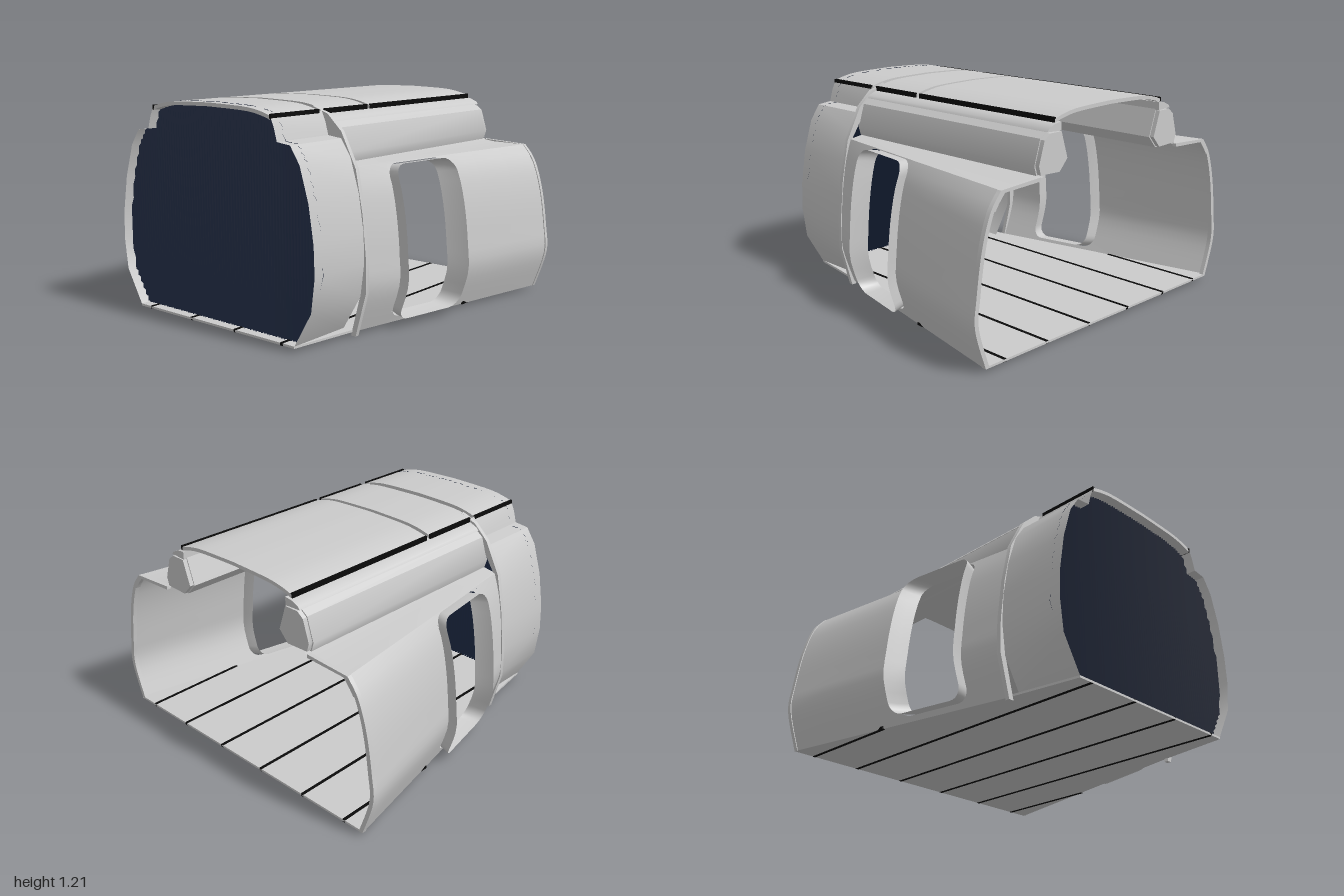
import * as THREE from 'three';
import { toCreasedNormals } from 'three/addons/utils/BufferGeometryUtils.js';

const grey = new THREE.MeshStandardMaterial({ color: 0xcccccc, side: THREE.DoubleSide });
const navy = new THREE.MeshStandardMaterial({ color: 0x141e33, side: THREE.DoubleSide });
const black = new THREE.MeshStandardMaterial({ color: 0x0a0a0a, side: THREE.DoubleSide });

// Half cross-sections as [x, y], bottom to top
const wallFront = [[0.64, 0.02], [0.715, 0.24], [0.715, 0.4], [0.7, 0.58], [0.67, 0.76], [0.63, 0.885]];
const wallRear = [[0.93, 0.02], [1.0, 0.24], [0.99, 0.4], [0.955, 0.62], [0.9, 0.79], [0.83, 0.885]];
const shell = [[0.58, 0.03], [0.69, 0.22], [0.713, 0.4], [0.707, 0.56], [0.675, 0.76], [0.62, 0.94], [0.56, 1.03],
  [0.475, 1.04], [0.455, 1.11], [0.43, 1.165]];
const roof = [[0.43, 1.165], [0.36, 1.185], [0.25, 1.2], [0, 1.207]];
const rib = [[0.66, 0], [0.725, 0.24], [0.724, 0.42], [0.7, 0.65], [0.655, 0.88], [0.56, 1.065], [0.47, 1.15], [0.37, 1.185]];
const bin = [[0.4, 1.11], [0.49, 1.11], [0.53, 1.08], [0.57, 0.95], [0.555, 0.9], [0.41, 0.895], [0.35, 0.96]];

// Linear lookup of column b at value v of column a
function lookup(pts, v, a, b) {
  for (let i = 0; i < pts.length - 1; i++) {
    const p = pts[i], q = pts[i + 1];
    if ((v - p[a]) * (v - q[a]) <= 0 && p[a] !== q[a]) return p[b] + (q[b] - p[b]) * (v - p[a]) / (q[a] - p[a]);
  }
  return pts[pts.length - 1][b];
}

function add(group, name, geometry, material = grey) {
  const mesh = new THREE.Mesh(geometry, material);
  mesh.name = name;
  group.add(mesh);
  return mesh;
}

// Surface through rows of [x, y, z] points
function sheet(rows, crease = 0.6) {
  const n = rows[0].length, index = [];
  for (let i = 0; i < rows.length - 1; i++) {
    for (let j = 0; j < n - 1; j++) {
      const a = i * n + j, b = a + n;
      index.push(a, b, a + 1, b, b + 1, a + 1);
    }
  }
  const g = new THREE.BufferGeometry();
  g.setAttribute('position', new THREE.Float32BufferAttribute(rows.flat(2), 3));
  g.setIndex(index);
  g.computeVertexNormals();
  return toCreasedNormals(g, crease);
}

// Closed [x, y] outline extruded from z0 to z1
function prism(pts, z0, z1) {
  const shape = new THREE.Shape(pts.map(p => new THREE.Vector2(p[0], p[1])));
  const g = new THREE.ExtrudeGeometry(shape, { depth: z1 - z0, bevelEnabled: false });
  g.translate(0, 0, z0);
  return toCreasedNormals(g, 0.6);
}

// Smooth the wall profiles so the skin curves gently
const smooth = (pts, n) => new THREE.SplineCurve(pts.map(p => new THREE.Vector2(...p))).getPoints(n).map(p => [p.x, p.y]);
const frontCurve = smooth(wallFront, 40), rearCurve = smooth(wallRear, 40);
function wallX(y, z) {
  const t = (0.52 - z) / 1.44;
  return THREE.MathUtils.lerp(lookup(frontCurve, y, 1, 0), lookup(rearCurve, y, 1, 0), t);
}

// Door opening
const TOP = 0.885, BASE = 0.02;
const door = { z: 0.065, half: 0.22, low: 0.05, high: 0.88, r: 0.07 };
function doorRound(z) {
  const e = Math.max(0, Math.abs(z - door.z) - door.half + door.r);
  return door.r - Math.sqrt(Math.max(0, door.r ** 2 - e ** 2));
}

function wallPatch(zs, s, low, high) {
  return sheet(zs.map(z => Array.from({ length: 17 }, (_, j) => {
    const y = THREE.MathUtils.lerp(low(z), high(z), j / 16);
    return [s * wallX(y, z), y, z];
  })));
}

function doorFrame(s) {
  const c = (door.low + door.high) / 2, hy = (door.high - door.low) / 2;
  const loop = [];
  for (const [u, v, a0] of [[1, 1, 0], [-1, 1, 1], [-1, -1, 2], [1, -1, 3]]) {
    for (let i = 0; i <= 6; i++) {
      const a = (a0 + i / 6) * Math.PI / 2;
      loop.push([u * (door.half - door.r) + door.r * Math.cos(a), v * (hy - door.r) + door.r * Math.sin(a)]);
    }
    // Points along the straight jambs so they follow the wall curve
    const p = loop[loop.length - 1];
    if (u === -1 && v === 1) for (let i = 1; i < 12; i++) loop.push([p[0], p[1] * (1 - i / 6)]);
    if (u === 1 && v === -1) for (let i = 1; i < 12; i++) loop.push([p[0], p[1] * (1 - i / 6)]);
  }
  loop.push(loop[0]);
  const ring = (off, inset) => loop.map(([dz, dy]) => {
    const z = door.z + dz * (1 - inset / door.half), y = c + dy * (1 - inset / 2 / hy);
    return [s * (wallX(y, z) + off), y, z];
  });
  return sheet([ring(0.06, -0.005), ring(0, 0.01), ring(-0.05, 0.03)]);
}

function buildSide(s) {
  const side = new THREE.Group();
  side.name = s > 0 ? 'leftSide' : 'rightSide';
  const flip = pts => pts.map(([x, y]) => [s * x, y]);
  const zA = door.z + door.half, zB = door.z - door.half;
  const zs = Array.from({ length: 25 }, (_, i) => door.z + door.half * Math.cos(i / 24 * Math.PI));

  // Flared wall around the doorway
  add(side, 'wallAheadOfDoor', wallPatch([0.51, 0.4, zA], s, () => BASE, () => TOP));
  add(side, 'wallBehindDoor', wallPatch([zB, -0.4, -0.65, -0.92], s, () => BASE, () => TOP));
  add(side, 'doorSill', wallPatch(zs, s, () => BASE, z => door.low + doorRound(z)));
  add(side, 'doorLintel', wallPatch(zs, s, z => door.high - doorRound(z), () => TOP));
  add(side, 'doorFrame', doorFrame(s));
  add(side, 'wallTopLedge', sheet([0.51, -0.2, -0.92].map(z =>
    [[s * wallX(TOP, z), TOP, z], [s * 0.62, 0.888, z], [s * 0.54, 0.9, z]])));
  const inner = rearCurve.map(([x, y]) => [x - 0.025, y - (y > 0.8 ? 0.015 : 0)]).reverse();
  add(side, 'wallRearRim', prism(flip([...rearCurve, [0.56, 0.9], [0.56, 0.88], ...inner]), -0.92, -0.895));

  // Overhead locker, its end plate and the roof rail above it
  add(side, 'overheadLocker', prism(flip(bin), -0.885, 0.51));
  add(side, 'lockerEndPlate', prism(flip(bin.map(([x, y]) => [0.46 + (x - 0.46) * 0.94, 1 + (y - 1) * 0.94])), -0.91, -0.885));
  add(side, 'roofRail', prism(flip([[0.4, 1.105], [0.5, 1.11], [0.49, 1.125], [0.445, 1.145], [0.4, 1.15]]), -0.905, 0.53));

  // Front shell and the rib joining it to the flared wall
  add(side, 'frontShell', sheet([0.92, 0.53].map(z => shell.map(([x, y]) => [s * x, y, z]))));
  const ribInner = rib.map(([x, y]) => [x - 0.045 * Math.min(1, x), y - (y > 0.9 ? 0.045 : 0)]).reverse();
  add(side, 'joiningRib', prism(flip([...rib, ...ribInner]), 0.505, 0.53));
  return side;
}

export function createModel() {
  const model = new THREE.Group();
  model.name = 'cabinSection';
  model.add(buildSide(1), buildSide(-1));

  // Roof panels with black seals along both edges
  const mirrored = pts => [...pts, ...pts.slice(0, -1).reverse().map(([x, y]) => [-x, y])];
  const arch = mirrored(smooth(roof, 10));
  const band = (drop, thick) => [...arch.map(([x, y]) => [x, y - drop]),
    ...arch.map(([x, y]) => [x, y - drop - thick]).reverse()];
  for (const [z0, z1] of [[0.555, 0.92], [0.15, 0.51], [-0.89, 0.12]]) {
    add(model, 'roofPanel', prism(band(0, 0.02), z0, z1));
    for (const s of [1, -1]) {
      const seal = add(model, 'roofSeal', new THREE.BoxGeometry(0.012, 0.026, z1 - z0), black);
      seal.position.set(s * 0.43, 1.16, (z0 + z1) / 2);
    }
  }
  add(model, 'roofCrossbar', prism(band(0.02, 0.035), 0.115, 0.155));
  add(model, 'roofCrossbar', prism(band(0.02, 0.035), 0.505, 0.56));

  // Floor with dark seams running lengthwise
  const plan = [[0.93, -0.92], [0.64, 0.52], [0.58, 0.92]];
  const outline = [...plan, ...plan.map(([x, z]) => [-x, z]).reverse()].map(([x, z]) => [x, -z]);
  const floor = add(model, 'floor', prism(outline, 0.02, 0.032));
  floor.rotation.x = -Math.PI / 2;
  for (const x of [0.165, 0.495, 0.8]) {
    const end = x < 0.58 ? 0.92 : lookup(plan, x, 0, 1);
    for (const s of [1, -1]) {
      const seam = add(model, 'floorSeam', new THREE.BoxGeometry(0.018, 0.016, end + 0.92), black);
      seam.position.set(s * x, 0.026, (end - 0.92) / 2);
    }
  }

  // Pleated curtain closing the front
  const upper = [...shell.slice(2), ...roof.slice(1)];
  const columns = Array.from({ length: 145 }, (_, i) => {
    const x = (i / 72 - 1) * 0.714, a = Math.min(Math.abs(x), 0.713);
    const low = a < 0.58 ? 0.03 : lookup(shell.slice(0, 3), a, 0, 1);
    const z = 0.862 + (i % 2 ? 0.007 : -0.007);
    return [[x, low, z], [x, lookup(upper, a, 0, 1) + 0.002, z]];
  });
  add(model, 'pleatedCurtain', sheet(columns, 0.3), navy);
  return model;
}
